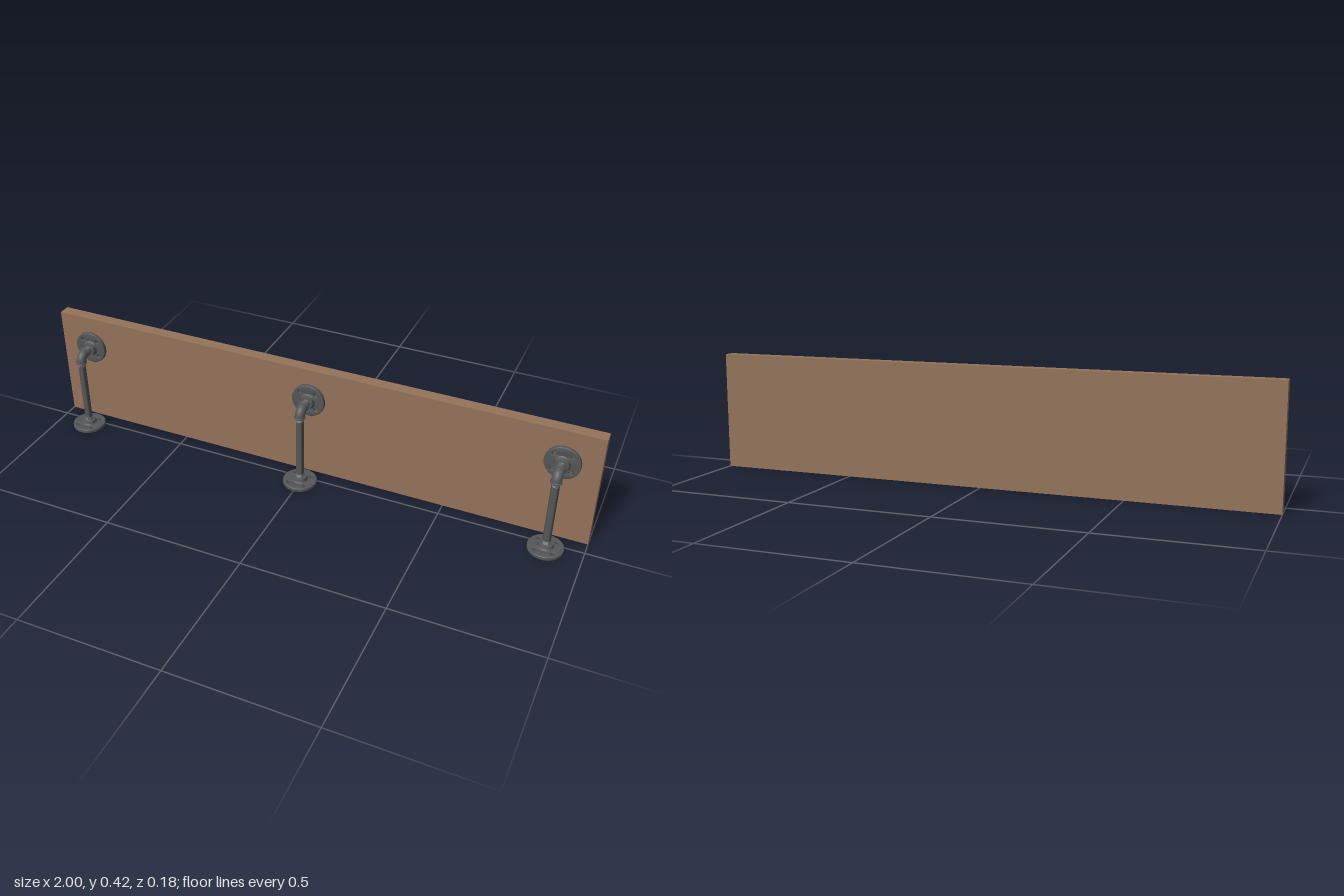
import * as THREE from 'three';
import { toCreasedNormals } from 'three/addons/utils/BufferGeometryUtils.js';

const AXIS_Z = 0.031;   // upright pipe axis
const AXIS_Y = 0.303;   // horizontal pipe axis
const WALL_Z = -0.048;  // front face of the board

export function createModel() {
  const wood = new THREE.MeshStandardMaterial({ color: 0x94735a });
  wood.name = 'wood';
  const iron = new THREE.MeshStandardMaterial({ color: 0x555657 });
  iron.name = 'dark iron';

  const add = (parent, geometry, material, name) => {
    const mesh = new THREE.Mesh(geometry, material);
    mesh.name = name;
    parent.add(mesh);
    return mesh;
  };
  // Turned part about y, profile listed bottom to top as [radius, height]
  const lathe = (profile) => toCreasedNormals(
    new THREE.LatheGeometry(profile.map(([r, y]) => new THREE.Vector2(r, y)), 32), 0.6);
  // Zigzag screw thread profile
  const thread = (y0, y1, turns) => {
    const points = [];
    const step = (y1 - y0) / turns;
    for (let i = 0; i < turns; i++) {
      points.push([0.0122, y0 + i * step], [0.0142, y0 + (i + 0.5) * step]);
    }
    points.push([0.0122, y1]);
    return points;
  };

  // Flange plate with four screw holes and an open bore
  const disc = new THREE.Shape().absarc(0, 0, 0.06, 0, Math.PI * 2);
  const hole = (x, y, r) => disc.holes.push(new THREE.Path().absarc(x, y, r, 0, Math.PI * 2, true));
  hole(0, 0, 0.0115);
  for (let i = 0; i < 4; i++) {
    const a = Math.PI / 4 + i * Math.PI / 2;
    hole(0.042 * Math.cos(a), 0.042 * Math.sin(a), 0.006);
  }
  const bevel = 0.0025;
  const plateGeo = new THREE.ExtrudeGeometry(disc, {
    depth: 0.0145 - 2 * bevel, curveSegments: 20,
    bevelThickness: bevel, bevelSize: bevel, bevelOffset: -bevel, bevelSegments: 3,
  });
  plateGeo.translate(0, 0, bevel).rotateX(-Math.PI / 2);
  const flangePlate = toCreasedNormals(plateGeo, 0.6);
  const flangeHub = lathe([
    [0.03, 0.0135], [0.0265, 0.016], [0.025, 0.019], [0.0245, 0.024],
    [0.0235, 0.0265], [0.021, 0.0275], [0.012, 0.0275],
  ]);

  // Upright pipe, threaded at both ends, closed inside the flange bore
  const uprightGeo = lathe([
    [0, 0.008], [0.0122, 0.008], ...thread(0.026, 0.04, 4),
    [0.0135, 0.0415], [0.0135, 0.261], ...thread(0.262, 0.274, 3),
  ]);
  // Short nipple between wall flange and elbow
  const nippleGeo = lathe([
    [0, 0.008], [0.0122, 0.008], ...thread(0.024, 0.034, 3),
    [0.0142, 0.035], [0.0142, 0.039], ...thread(0.04, 0.05, 3),
  ]);

  // Elbow body: quarter bend swept in the YZ plane
  const bend = 0.027;
  const path = new THREE.CurvePath();
  const start = new THREE.Vector3(0, 0.277, AXIS_Z);
  const end = new THREE.Vector3(0, AXIS_Y, 0.002);
  const arc = [];
  for (let i = 0; i <= 8; i++) {
    const a = i / 8 * Math.PI / 2;
    arc.push(new THREE.Vector3(0,
      AXIS_Y - bend + bend * Math.sin(a), AXIS_Z - bend + bend * Math.cos(a)));
  }
  path.add(new THREE.CatmullRomCurve3([start.clone().setY(0.2745), ...arc, end]));
  const elbowGeo = new THREE.TubeGeometry(path.curves[0], 24, 0.0172, 24, false);
  // Rounded bead at each elbow mouth
  const collarGeo = lathe([
    [0.012, 0], [0.018, 0], [0.0195, 0.0015], [0.0195, 0.005],
    [0.0185, 0.0065], [0.0168, 0.007],
  ]);

  function flange(name) {
    const group = new THREE.Group();
    group.name = name;
    add(group, flangePlate, iron, 'flangePlate');
    add(group, flangeHub, iron, 'flangeHub');
    return group;
  }

  function bracket(name) {
    const group = new THREE.Group();
    group.name = name;
    const foot = flange('footFlange');
    foot.position.z = AXIS_Z;
    add(foot, uprightGeo, iron, 'uprightPipe');

    const wall = flange('wallFlange');
    wall.position.set(0, AXIS_Y, WALL_Z);
    wall.rotation.x = Math.PI / 2;
    add(wall, nippleGeo, iron, 'nipple');
    group.add(foot, wall);

    add(group, elbowGeo, iron, 'elbow');
    add(group, collarGeo, iron, 'lowerCollar').position.set(0, 0.273, AXIS_Z);
    const rear = add(group, collarGeo, iron, 'rearCollar');
    rear.position.set(0, AXIS_Y, -0.001);
    rear.rotation.x = Math.PI / 2;
    return group;
  }

  const model = new THREE.Group();
  model.name = 'pipeShelf';
  const board = add(model, new THREE.BoxGeometry(2, 0.418, 0.042), wood, 'board');
  board.position.set(0, 0.209, WALL_Z - 0.021);

  [['rightBracket', -0.877], ['middleBracket', 0], ['leftBracket', 0.877]].forEach(([name, x]) => {
    const b = bracket(name);
    b.position.x = x;
    model.add(b);
  });
  return model;
}
